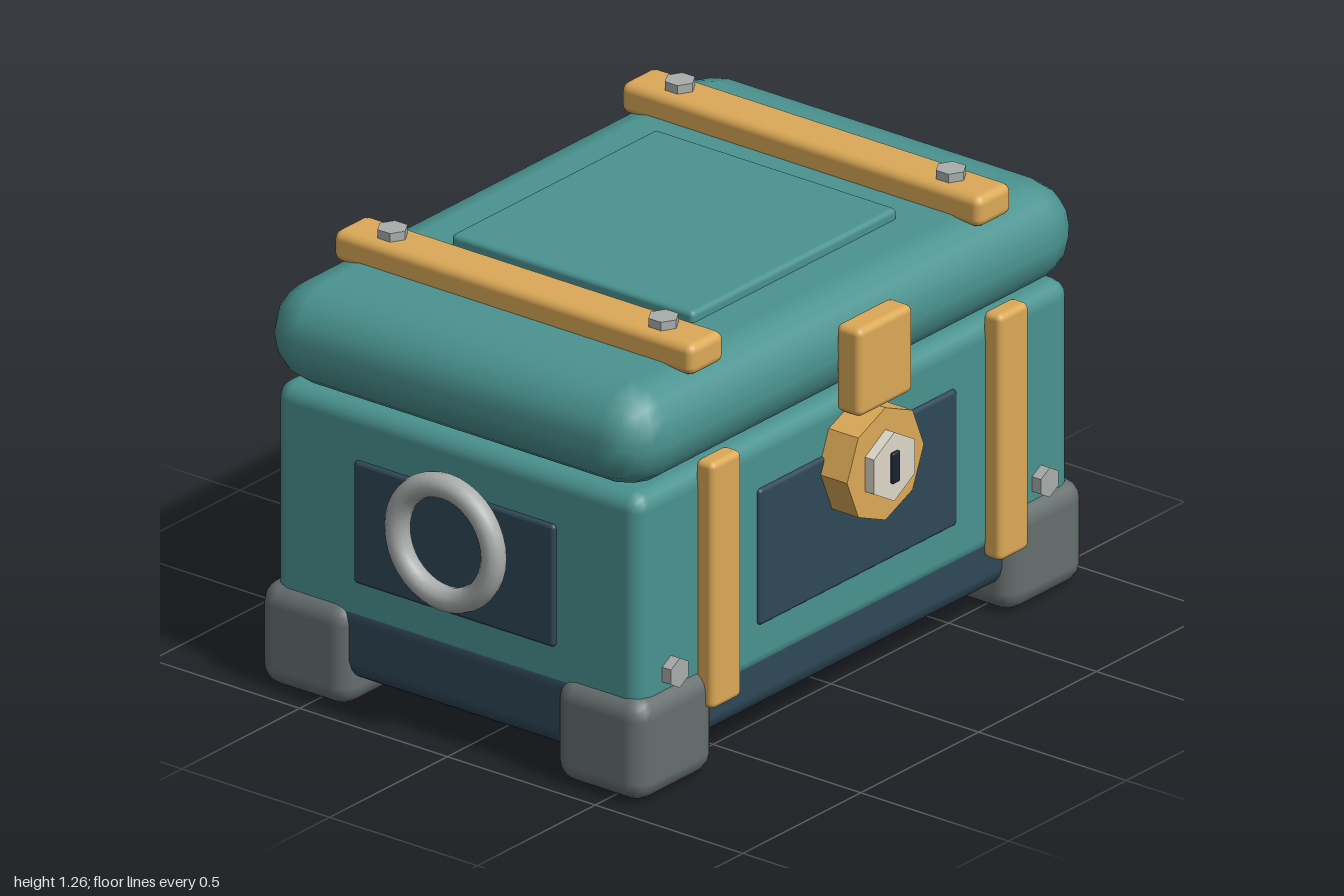
import * as THREE from 'three';
import { RoundedBoxGeometry } from 'three/addons/geometries/RoundedBoxGeometry.js';

const mat = (color) => new THREE.MeshStandardMaterial({ color });

export function createModel() {
  const chest = new THREE.Group();
  chest.name = 'chest';
  const teal = mat(0x4a9390), gold = mat(0xdba957), navy = mat(0x2f4858);
  const iron = mat(0x666e6e), steel = mat(0xa9adab), cream = mat(0xddd8c8), black = mat(0x1b2430);
  const midZ = -0.035;

  const add = (name, geometry, material, x, y, z) => {
    const mesh = new THREE.Mesh(geometry, material);
    mesh.name = name;
    mesh.position.set(x, y, z);
    chest.add(mesh);
    return mesh;
  };
  // Rounded box given by its extents on each axis
  const box = (name, material, [x0, x1], [y0, y1], [z0, z1], radius, segments = 2) =>
    add(name, new RoundedBoxGeometry(x1 - x0, y1 - y0, z1 - z0, segments, radius), material,
      (x0 + x1) / 2, (y0 + y1) / 2, (z0 + z1) / 2);
  // Flat-sided prism standing on y, or turned to face +z
  const prism = (name, material, sides, r, h, x, y, z, facesFront) => {
    const g = new THREE.CylinderGeometry(r, r, h, sides).toNonIndexed();
    g.computeVertexNormals();
    // Turning about x keeps a corner pointing straight up
    if (facesFront) g.rotateX(Math.PI / 2);
    return add(name, g, material, x, y, z);
  };

  // Main shell
  box('base', navy, [-0.925, 0.925], [0.08, 0.32], [-0.65, 0.58], 0.06);
  box('body', teal, [-0.92, 0.92], [0.2, 0.88], [-0.655, 0.585], 0.05);
  box('lid', teal, [-0.96, 0.96], [0.875, 1.165], [-0.69, 0.615], 0.14);
  box('lidPanel', teal, [-0.435, 0.435], [1.13, 1.195], [-0.44, 0.38], 0.015);

  // Inset-coloured panels
  box('frontPanel', navy, [-0.42, 0.42], [0.34, 0.735], [0.55, 0.596], 0.012);
  box('backPanel', navy, [-0.42, 0.42], [0.34, 0.735], [-0.666, -0.62], 0.012);

  for (const s of [-1, 1]) {
    const span = (a, b) => (s > 0 ? [a, b] : [-b, -a]);

    // Side panel and ring handle
    box('sidePanel', navy, span(0.88, 0.932), [0.375, 0.73], [-0.375, 0.305], 0.012);
    const ring = add('ringHandle', new THREE.TorusGeometry(0.163, 0.035, 12, 36), steel, s * 0.965, 0.6, midZ);
    ring.rotation.y = Math.PI / 2;

    // Corner feet
    box('frontFoot', iron, span(0.62, 0.95), [0, 0.3], [0.31, 0.615], 0.06);
    box('backFoot', iron, span(0.62, 0.95), [0, 0.3], [-0.69, -0.38], 0.06);

    // Straps
    box('frontStrap', gold, span(0.547, 0.673), [0.195, 0.91], [0.575, 0.638], 0.018);
    box('backStrap', gold, span(0.547, 0.673), [0.195, 0.91], [-0.71, -0.645], 0.018);
    box('lidStrap', gold, span(0.538, 0.682), [1.145, 1.235], [-0.645, 0.573], 0.025);

    // Hex bolts
    for (const z of [0.42, -0.497]) prism('lidBolt', steel, 6, 0.043, 0.045, s * 0.61, 1.2375, z);
    prism('frontBolt', steel, 6, 0.043, 0.05, s * 0.785, 0.34, 0.59, true);

    // Hinge barrel
    const hinge = add('hinge', new THREE.CylinderGeometry(0.08, 0.08, 0.32, 14), steel, s * 0.61, 0.907, -0.645);
    hinge.rotation.z = Math.PI / 2;
  }

  // Lock
  box('clasp', gold, [-0.115, 0.115], [0.86, 1.115], [0.605, 0.69], 0.02);
  prism('lockPlate', gold, 8, 0.163, 0.11, 0, 0.69, 0.63, true);
  prism('lockFace', cream, 6, 0.1, 0.05, 0, 0.69, 0.69, true);
  box('keyhole', black, [-0.016, 0.016], [0.645, 0.735], [0.7, 0.725], 0.006);

  return chest;
}
